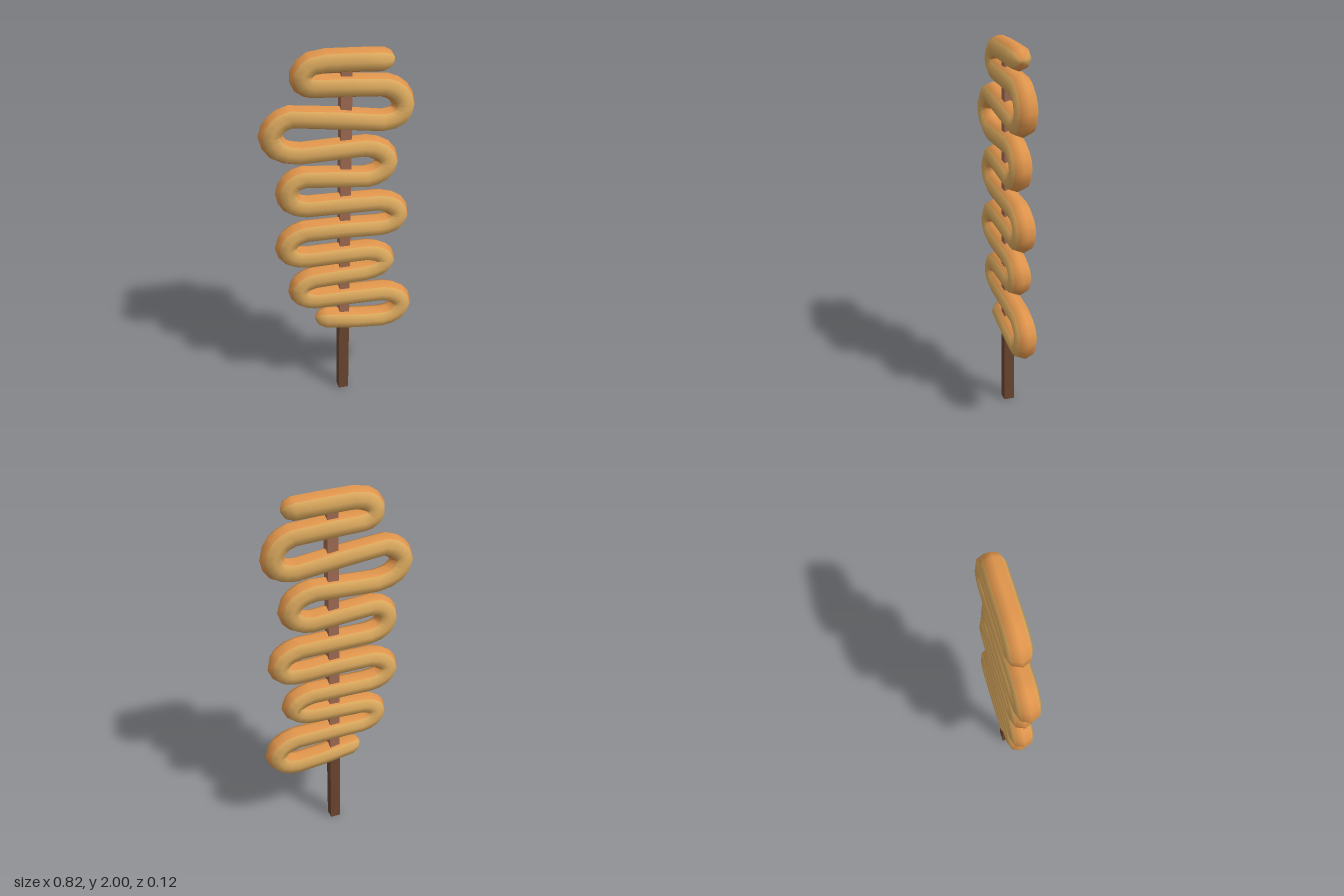
import * as THREE from 'three';

const RADIUS = 0.06;
const SIDES = 8;

// Serpentine centre line, top end to bottom end (x, y)
const PATH = [
  [0.21, 1.93], [0.0, 1.94], [-0.14, 1.935], [-0.19, 1.89], [-0.18, 1.845], [-0.13, 1.825],
  [0.22, 1.803], [0.29, 1.765], [0.32, 1.7], [0.295, 1.645], [0.21, 1.623],
  [-0.25, 1.683], [-0.32, 1.65], [-0.352, 1.595], [-0.315, 1.525], [-0.21, 1.49],
  [0.12, 1.497], [0.21, 1.465], [0.245, 1.405], [0.21, 1.35], [0.13, 1.327],
  [-0.19, 1.36], [-0.255, 1.335], [-0.278, 1.283], [-0.255, 1.225], [-0.18, 1.195],
  [0.2, 1.185], [0.285, 1.15], [0.31, 1.095], [0.275, 1.05], [0.2, 1.038],
  [-0.19, 1.052], [-0.265, 1.02], [-0.292, 0.972], [-0.26, 0.918], [-0.18, 0.897],
  [0.14, 0.895], [0.215, 0.87], [0.245, 0.83], [0.21, 0.79], [0.13, 0.77],
  [-0.15, 0.763], [-0.21, 0.74], [-0.23, 0.7], [-0.205, 0.655], [-0.14, 0.633],
  [0.23, 0.623], [0.315, 0.59], [0.347, 0.535], [0.31, 0.475], [0.23, 0.453],
  [-0.085, 0.495],
];

// Planar eight-sided tube with domed ends; group 0 = front and back, group 1 = rim
function tubeGeometry() {
  const curve = new THREE.CatmullRomCurve3(
    PATH.map(([x, y]) => new THREE.Vector3(x, y, 0)), false, 'centripetal');
  const count = (PATH.length - 1) * 2;
  const rings = [];
  for (let i = 0; i <= count; i++) {
    rings.push({ p: curve.getPoint(i / count), t: curve.getTangent(i / count), r: RADIUS });
  }
  // Dome rings beyond each end
  const dome = [[0.036, 0.044], [0.055, 0.016], [0.056, 0.0005]];
  const first = rings[0], last = rings[count];
  for (const [d, r] of dome) {
    rings.unshift({ p: first.p.clone().addScaledVector(first.t, -d), t: first.t, r });
    rings.push({ p: last.p.clone().addScaledVector(last.t, d), t: last.t, r });
  }

  const positions = [], face = [], rim = [];
  rings.forEach(({ p, t, r }, i) => {
    for (let k = 0; k < SIDES; k++) {
      const a = (k / SIDES) * Math.PI * 2;
      const n = r * Math.cos(a);
      positions.push(p.x - t.y * n, p.y + t.x * n, r * Math.sin(a));
      if (i === rings.length - 1) continue;
      const A = i * SIDES + k, B = i * SIDES + (k + 1) % SIDES;
      const target = k % 4 === 1 || k % 4 === 2 ? face : rim;
      target.push(A, B, B + SIDES, A, B + SIDES, A + SIDES);
    }
  });

  const g = new THREE.BufferGeometry();
  g.setAttribute('position', new THREE.Float32BufferAttribute(positions, 3));
  g.setIndex([...face, ...rim]);
  g.addGroup(0, face.length, 0);
  g.addGroup(face.length, rim.length, 1);
  g.computeVertexNormals();
  return g;
}

// Square stick section from y0 to y1, leaning slightly to +x
function stickGeometry(y0, y1) {
  const g = new THREE.BoxGeometry(0.056, y1 - y0, 0.056);
  g.translate(0.012, (y0 + y1) / 2, -0.003);
  const pos = g.attributes.position;
  for (let i = 0; i < pos.count; i++) pos.setX(i, pos.getX(i) + pos.getY(i) * 0.007);
  g.computeVertexNormals();
  return g;
}

export function createModel() {
  const material = (name, color) => {
    const m = new THREE.MeshStandardMaterial({ color });
    m.name = name;
    return m;
  };
  const tan = material('golden tan', 0xdba95e);
  const orange = material('toasted orange', 0xe0954c);
  const darkWood = material('dark wood', 0x6a4530);
  const lightWood = material('light wood', 0x9e6a52);

  const group = new THREE.Group();
  group.name = 'spiralOnStick';
  const add = (name, geometry, mat) => {
    const mesh = new THREE.Mesh(geometry, mat);
    mesh.name = name;
    group.add(mesh);
  };

  add('foldedSausage', tubeGeometry(), [tan, orange]);
  add('stickHandle', stickGeometry(0, 0.45), darkWood);
  add('stickCore', stickGeometry(0.45, 1.93), lightWood);
  return group;
}
